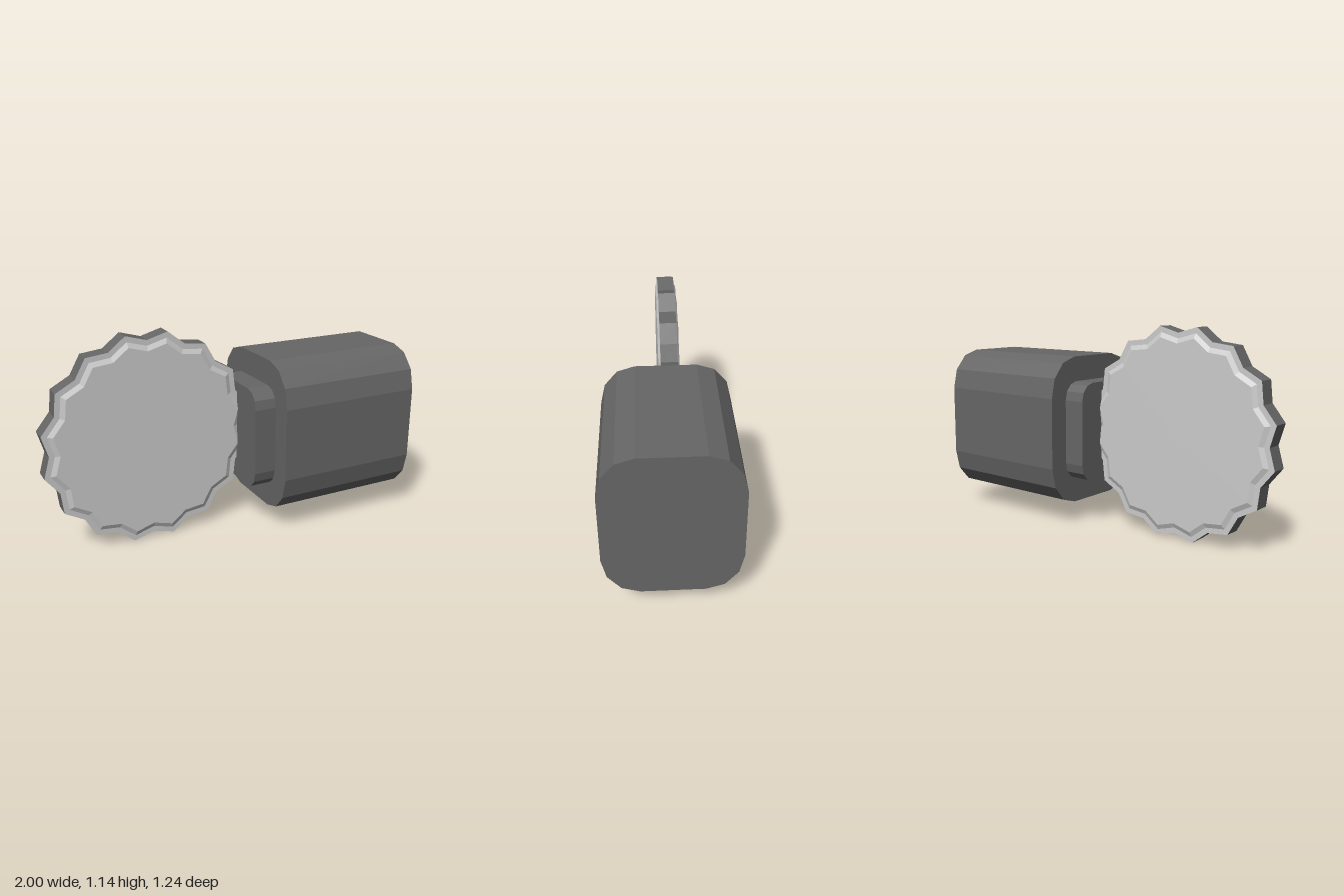
import * as THREE from 'three';

const light = new THREE.MeshStandardMaterial({ color: 0xcccccc, flatShading: true });
const dark = new THREE.MeshStandardMaterial({ color: 0x666666, flatShading: true });

// Block along +x with elliptical corners of three facets each
function roundedBlock(name, halfZ, halfY, rx, ry, x0, x1) {
  const points = [];
  const centres = [[1, 1], [-1, 1], [-1, -1], [1, -1]];
  centres.forEach(([sx, sy], corner) => {
    for (let i = 0; i <= 3; i++) {
      const a = (corner + i / 3) * Math.PI / 2;
      points.push(new THREE.Vector2(
        sx * (halfZ - rx) + rx * Math.cos(a),
        sy * (halfY - ry) + ry * Math.sin(a)));
    }
  });
  const geometry = new THREE.ExtrudeGeometry(new THREE.Shape(points),
    { depth: x1 - x0, bevelEnabled: false });
  geometry.rotateY(Math.PI / 2);
  const mesh = new THREE.Mesh(geometry, dark);
  mesh.name = name;
  mesh.position.set(x0, 0.537, 0.107);
  return mesh;
}

// Revolved profile facing +z, with sixteen teeth around it
function toothedLathe(name, profile, material) {
  const points = profile.map(([r, y]) => new THREE.Vector2(r, y));
  const geometry = new THREE.LatheGeometry(points, 32);
  const p = geometry.attributes.position;
  // Pull every other spoke inward to form the valleys
  for (let i = 0; i < p.count; i++) {
    if (Math.floor(i / profile.length) % 2 === 0) {
      p.setX(i, p.getX(i) * 0.925);
      p.setZ(i, p.getZ(i) * 0.925);
    }
  }
  geometry.rotateX(Math.PI / 2);
  geometry.computeVertexNormals();
  const mesh = new THREE.Mesh(geometry, material);
  mesh.name = name;
  return mesh;
}

// Disc with a dark toothed edge and a light, raised face on both sides
function toothedDisc() {
  const face = [[0.582, 0.048], [0.55, 0.048], [0.522, 0.06], [0, 0.06]];
  const disc = new THREE.Group();
  disc.name = 'toothedDisc';
  disc.add(
    toothedLathe('discEdge', [[0.582, -0.048], [0.582, 0.048]], dark),
    toothedLathe('frontFace', face, light),
    toothedLathe('backFace', face.map(([r, y]) => [r, -y]).reverse(), light));
  disc.position.set(-0.563, 0.571, 0.082);
  return disc;
}

export function createModel() {
  const tool = new THREE.Group();
  tool.name = 'discTool';
  tool.add(
    toothedDisc(),
    roundedBlock('neck', 0.242, 0.281, 0.09, 0.1, -0.055, 0.09),
    roundedBlock('body', 0.357, 0.422, 0.19, 0.223, 0.067, 0.885));
  // The whole tool is turned about the vertical axis
  tool.rotation.y = THREE.MathUtils.degToRad(26.3);
  const model = new THREE.Group();
  model.name = 'model';
  model.add(tool);
  return model;
}
